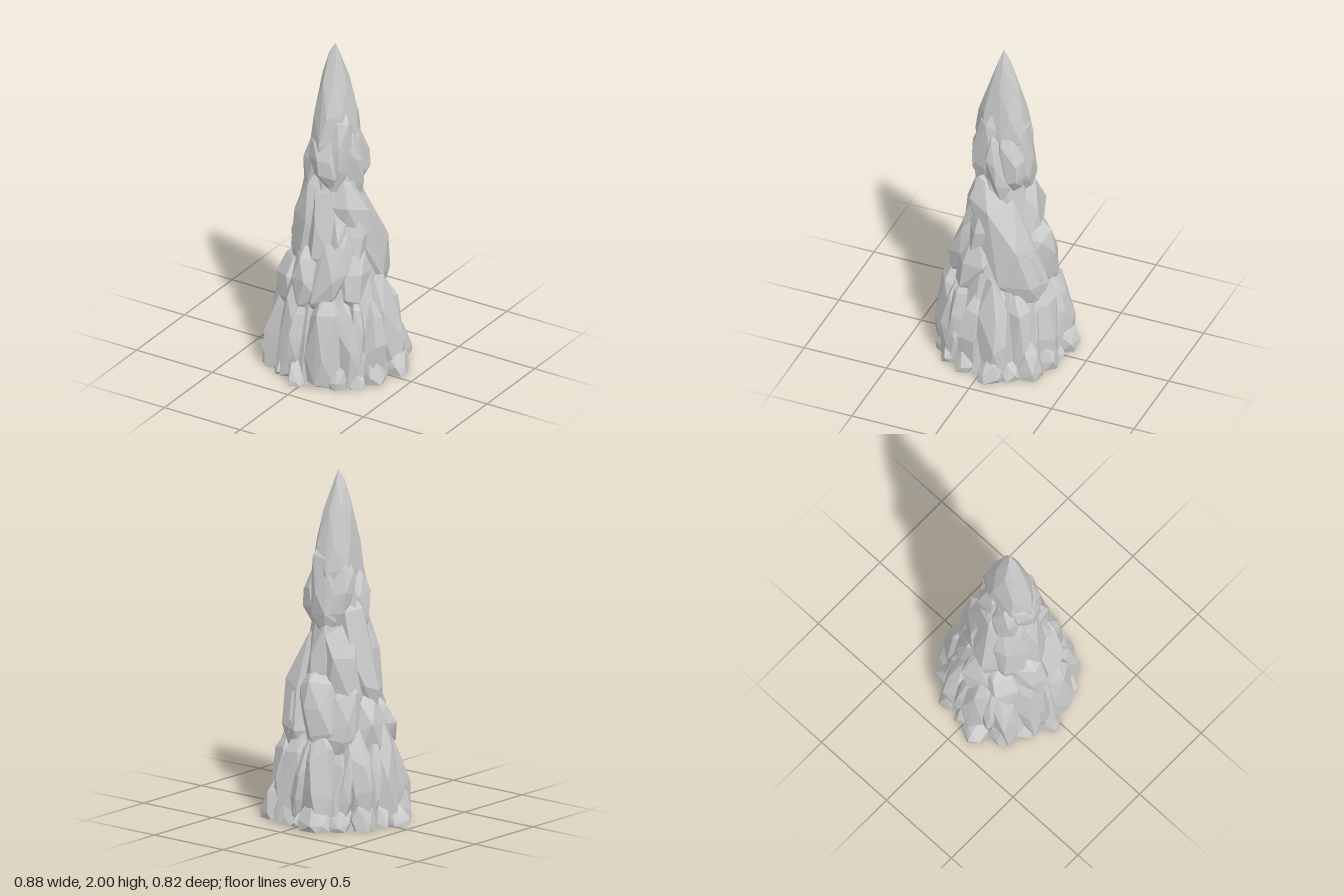
import * as THREE from 'three';
import { ConvexGeometry } from 'three/addons/geometries/ConvexGeometry.js';

let seed = 11;
const rand = () => {
  seed = (seed * 16807) % 2147483647;
  return seed / 2147483647;
};
const jitter = (amount) => (rand() * 2 - 1) * amount;
const lerp = THREE.MathUtils.lerp;

// A faceted boulder lying against the spire: deg is its bearing (0 = +x, 90 = +z),
// rBottom / rTop the outer reach at its ends, twist a sideways lean.
function boulder(deg, y0, y1, rBottom, rTop, width, depth, twist = 0) {
  const a = THREE.MathUtils.degToRad(deg);
  const rings = [[0, 0.5], [0.2, 0.9], [0.5, 1], [0.8, 0.8], [1, 0.32]];
  const points = [];
  for (const [t, size] of rings) {
    const start = jitter(0.4);
    for (let i = 0; i < 6; i++) {
      const b = start + (i / 6) * Math.PI * 2 + jitter(0.25);
      const s = size * (1 + jitter(0.1));
      const out = lerp(rBottom, rTop, t) - depth + depth * s * Math.cos(b);
      const side = width * s * Math.sin(b) + (t - 0.5) * twist;
      const y = lerp(y0, y1, t) + jitter(0.06) * (y1 - y0);
      points.push(new THREE.Vector3(
        out * Math.cos(a) - side * Math.sin(a),
        Math.max(0, y),
        out * Math.sin(a) + side * Math.cos(a)));
    }
  }
  return new ConvexGeometry(points);
}

// Tapering pointed crown, a little deeper than wide
function spike() {
  const points = [new THREE.Vector3(0, 2, 0)];
  const rings = [[1.15, 0.11, 0.13], [1.42, 0.125, 0.175], [1.6, 0.11, 0.145],
    [1.78, 0.072, 0.088], [1.92, 0.034, 0.037]];
  for (const [y, rx, rz] of rings) {
    const start = rand();
    for (let i = 0; i < 7; i++) {
      const b = start + (i / 7) * Math.PI * 2 + jitter(0.2);
      points.push(new THREE.Vector3(rx * Math.cos(b), y + jitter(0.03), rz * Math.sin(b)));
    }
  }
  return new ConvexGeometry(points);
}

export function createModel() {
  const model = new THREE.Group();
  model.name = 'rockSpire';
  const stone = new THREE.MeshStandardMaterial({ color: 0xcccccc, flatShading: true });

  const add = (parent, name, geometry) => {
    const mesh = new THREE.Mesh(geometry, stone);
    mesh.name = name;
    parent.add(mesh);
  };
  const tier = (name, list) => {
    const group = new THREE.Group();
    group.name = name;
    list.forEach((args, i) => add(group, `${name}Rock${i + 1}`, boulder(...args)));
    model.add(group);
  };

  // Solid core behind the boulders
  const profile = [[0, 0], [0.36, 0], [0.32, 0.3], [0.27, 0.52], [0.19, 0.85],
    [0.14, 1.2], [0.1, 1.5], [0, 1.88]].map(([r, y]) => new THREE.Vector2(r, y));
  add(model, 'core', new THREE.LatheGeometry(profile, 9));

  // Small stones around the foot: bearing, height, reach, half width
  const feet = [[-12, 0.16, 0.445, 0.08], [18, 0.15, 0.4, 0.08], [38, 0.12, 0.4, 0.06],
    [55, 0.16, 0.39, 0.07], [97, 0.15, 0.41, 0.065], [122, 0.12, 0.38, 0.07],
    [145, 0.2, 0.41, 0.08], [167, 0.11, 0.45, 0.09], [185, 0.14, 0.4, 0.06],
    [206, 0.2, 0.43, 0.08], [230, 0.14, 0.41, 0.08], [252, 0.18, 0.43, 0.1],
    [272, 0.12, 0.37, 0.06], [290, 0.2, 0.4, 0.09], [314, 0.22, 0.44, 0.08],
    [333, 0.13, 0.41, 0.08]];
  tier('foot', feet.map(([deg, h, r, w]) => [deg, -h * 0.5, h, r + 0.02, r - 0.02, w, 0.1, jitter(0.04)]));

  // Broad leaning slabs of the base: bearing, top, reach, half width, lean
  const slabs = [[346, 0.56, 0.4, 0.11, 0.05], [15, 0.5, 0.37, 0.09, -0.06],
    [43, 0.52, 0.38, 0.1, 0.05], [70, 0.54, 0.385, 0.12, -0.03], [112, 0.7, 0.36, 0.11, 0.02],
    [142, 0.5, 0.39, 0.1, 0.06], [172, 0.62, 0.385, 0.11, -0.05], [204, 0.52, 0.4, 0.1, 0.04],
    [228, 0.48, 0.37, 0.09, -0.06], [252, 0.56, 0.39, 0.12, 0.03], [288, 0.52, 0.385, 0.12, -0.04],
    [317, 0.5, 0.39, 0.1, 0.05]];
  tier('base', slabs.map(([deg, top, r, w, lean]) => [deg, -0.12, top, r + 0.03, r - 0.025, w, 0.13, lean]));

  // Narrow shards wedged between the slabs
  const shards = [];
  for (let i = 0; i < 9; i++) {
    shards.push([i * 40 + 28 + jitter(8), 0.06, 0.5 + jitter(0.08), 0.4, 0.33, 0.055, 0.09, jitter(0.1)]);
  }
  tier('shard', shards);

  // Rounded boulders at the waist
  tier('waist', [
    [32, 0.44, 0.84, 0.33, 0.25, 0.12, 0.14, -0.04],
    [64, 0.42, 0.9, 0.34, 0.27, 0.12, 0.14, -0.14],
    [104, 0.4, 0.8, 0.345, 0.29, 0.12, 0.14, 0.03],
    [147, 0.38, 0.74, 0.36, 0.29, 0.13, 0.14, 0.05],
    [183, 0.36, 0.78, 0.365, 0.28, 0.13, 0.14, 0],
    [222, 0.42, 0.84, 0.345, 0.28, 0.13, 0.14, -0.08],
    [262, 0.42, 0.9, 0.345, 0.29, 0.14, 0.14, 0.06],
    [296, 0.4, 0.82, 0.345, 0.29, 0.12, 0.14, 0.05],
  ]);

  // Long slabs of the middle, including one large boulder across the back left
  tier('middle', [
    [326, 0.42, 1.18, 0.37, 0.21, 0.18, 0.18, 0.2],
    [24, 0.58, 1.16, 0.28, 0.2, 0.1, 0.12, 0.03],
    [52, 0.62, 1.12, 0.27, 0.19, 0.1, 0.12, -0.05],
    [86, 0.64, 1.25, 0.27, 0.17, 0.12, 0.12, 0.03],
    [134, 0.62, 1.28, 0.29, 0.18, 0.12, 0.13, -0.04],
    [178, 0.62, 1.34, 0.305, 0.17, 0.13, 0.14, 0.05],
    [224, 0.62, 1.24, 0.29, 0.18, 0.13, 0.13, 0.05],
    [268, 0.66, 1.22, 0.28, 0.18, 0.13, 0.13, -0.04],
  ]);

  // Angular stones at the neck
  tier('neck', [
    [358, 1.06, 1.54, 0.195, 0.145, 0.09, 0.1, 0.04],
    [48, 1.14, 1.62, 0.205, 0.15, 0.08, 0.1, -0.06],
    [88, 1.16, 1.5, 0.2, 0.18, 0.1, 0.1, 0.05],
    [142, 1.06, 1.5, 0.2, 0.15, 0.09, 0.1, -0.05],
    [186, 1.02, 1.44, 0.19, 0.13, 0.09, 0.1, 0.04],
    [228, 1.1, 1.52, 0.2, 0.16, 0.09, 0.1, -0.05],
    [272, 1.08, 1.6, 0.21, 0.17, 0.1, 0.1, 0.04],
    [316, 1.14, 1.52, 0.215, 0.16, 0.08, 0.1, 0.05],
  ]);

  add(model, 'spike', spike());
  return model;
}
